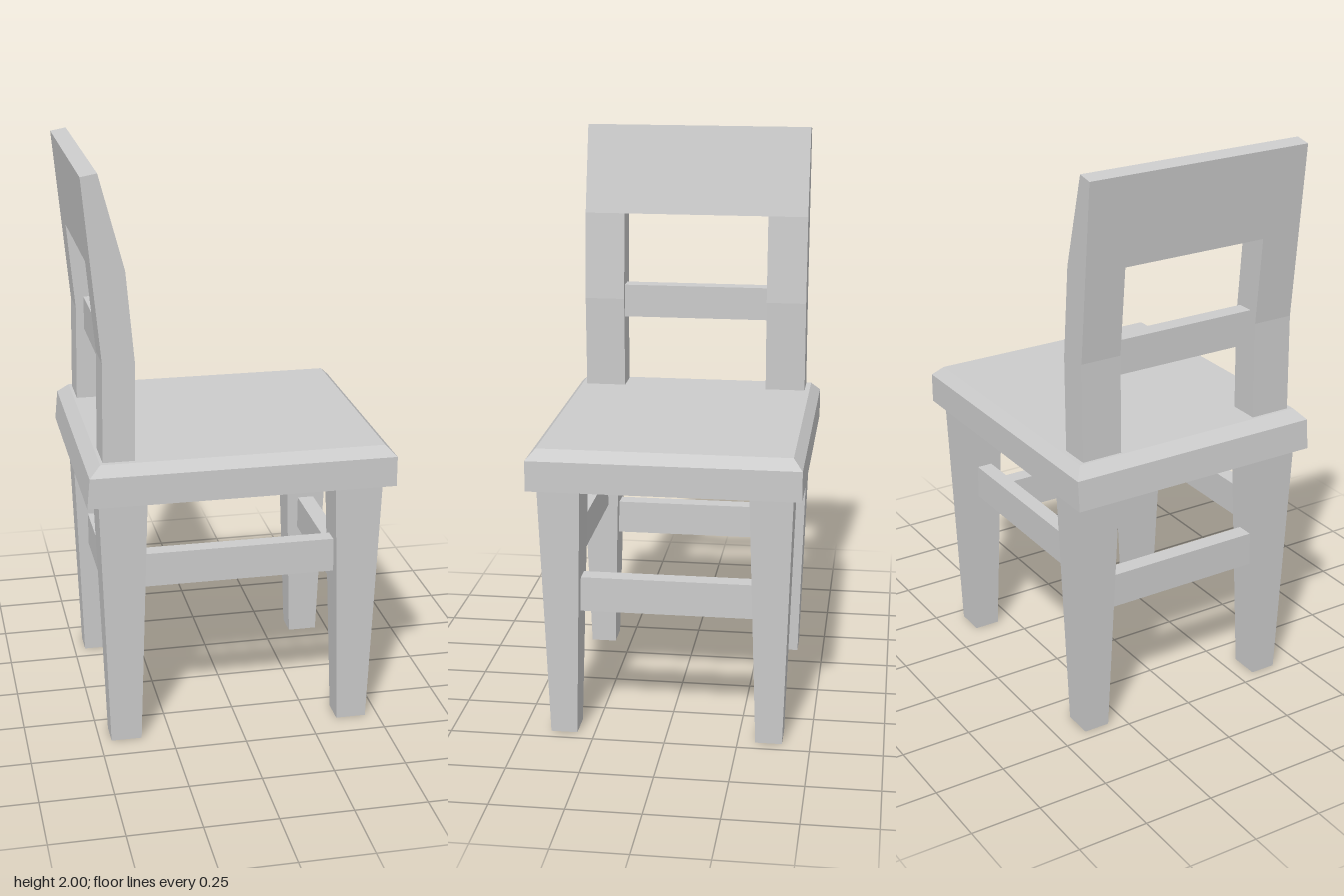
import * as THREE from 'three';

const material = new THREE.MeshStandardMaterial({ color: 0xcccccc, flatShading: true });

function addMesh(parent, name, geometry) {
  const mesh = new THREE.Mesh(geometry, material);
  mesh.name = name;
  parent.add(mesh);
  return mesh;
}

// Solid lofted through rectangles [y, x0, x1, z0, z1], listed from bottom to top
function loft(sections) {
  const pos = [];
  const rings = sections.map(([y, x0, x1, z0, z1]) => [
    [x0, y, z1], [x1, y, z1], [x1, y, z0], [x0, y, z0],
  ]);
  const quad = (a, b, c, d) => pos.push(...a, ...b, ...c, ...a, ...c, ...d);
  for (let i = 0; i < rings.length - 1; i++) {
    const lo = rings[i], hi = rings[i + 1];
    for (let k = 0; k < 4; k++) {
      const n = (k + 1) % 4;
      quad(lo[k], lo[n], hi[n], hi[k]);
    }
  }
  const b = rings[0], t = rings[rings.length - 1];
  quad(b[3], b[2], b[1], b[0]);
  quad(t[0], t[1], t[2], t[3]);
  const geometry = new THREE.BufferGeometry();
  geometry.setAttribute('position', new THREE.Float32BufferAttribute(pos, 3));
  geometry.computeVertexNormals();
  return geometry;
}

// Side profile in x and y, extruded from z0 to z1
function slab(points, z0, z1) {
  const shape = new THREE.Shape(points.map(([x, y]) => new THREE.Vector2(x, y)));
  return new THREE.ExtrudeGeometry(shape, { depth: z1 - z0, bevelEnabled: false }).translate(0, 0, z0);
}

function addBar(parent, name, size, position) {
  addMesh(parent, name, new THREE.BoxGeometry(...size)).position.set(...position);
}

export function createModel() {
  const chair = new THREE.Group();
  chair.name = 'chair';

  // Seat with a chamfered top edge
  addMesh(chair, 'seat', loft([
    [0.9, -0.53, 0.525, -0.46, 0.46],
    [1.005, -0.52, 0.525, -0.46, 0.46],
    [1.04, -0.48, 0.49, -0.428, 0.428],
  ]));

  // Legs, tapering towards the floor
  for (const [end, x] of [['back', -0.407], ['front', 0.403]]) {
    for (const [side, s] of [['Left', 1], ['Right', -1]]) {
      const leg = loft([
        [0, -0.053, 0.053, -0.046, 0.046],
        [0.9, -0.082, 0.082, -0.073, 0.073],
      ]);
      addMesh(chair, `${end}${side}Leg`, leg).position.set(x, 0, s * 0.357);
    }
    // Lower stretchers across the chair
    addBar(chair, `${end}Stretcher`, [0.06, 0.122, 0.6], [x, 0.508, 0]);
  }

  // Higher stretchers along the sides
  for (const [side, s] of [['left', 1], ['right', -1]]) {
    addBar(chair, `${side}SideStretcher`, [0.66, 0.12, 0.055], [0, 0.63, s * 0.357]);
  }

  // Bent backrest: two posts, a solid head panel and a crossbar
  const backrest = new THREE.Group();
  backrest.name = 'backrest';
  chair.add(backrest);
  const post = [
    [-0.47, 1.02], [-0.362, 1.02], [-0.356, 1.37],
    [-0.383, 1.685], [-0.492, 1.685], [-0.464, 1.38],
  ];
  addMesh(backrest, 'leftPost', slab(post, 0.265, 0.41));
  addMesh(backrest, 'rightPost', slab(post, -0.41, -0.265));
  const panel = [[-0.492, 1.685], [-0.383, 1.685], [-0.465, 2], [-0.52, 1.99]];
  addMesh(backrest, 'headPanel', slab(panel, -0.41, 0.41));
  addBar(backrest, 'crossbar', [0.06, 0.12, 0.56], [-0.406, 1.36, 0]);

  return chair;
}
